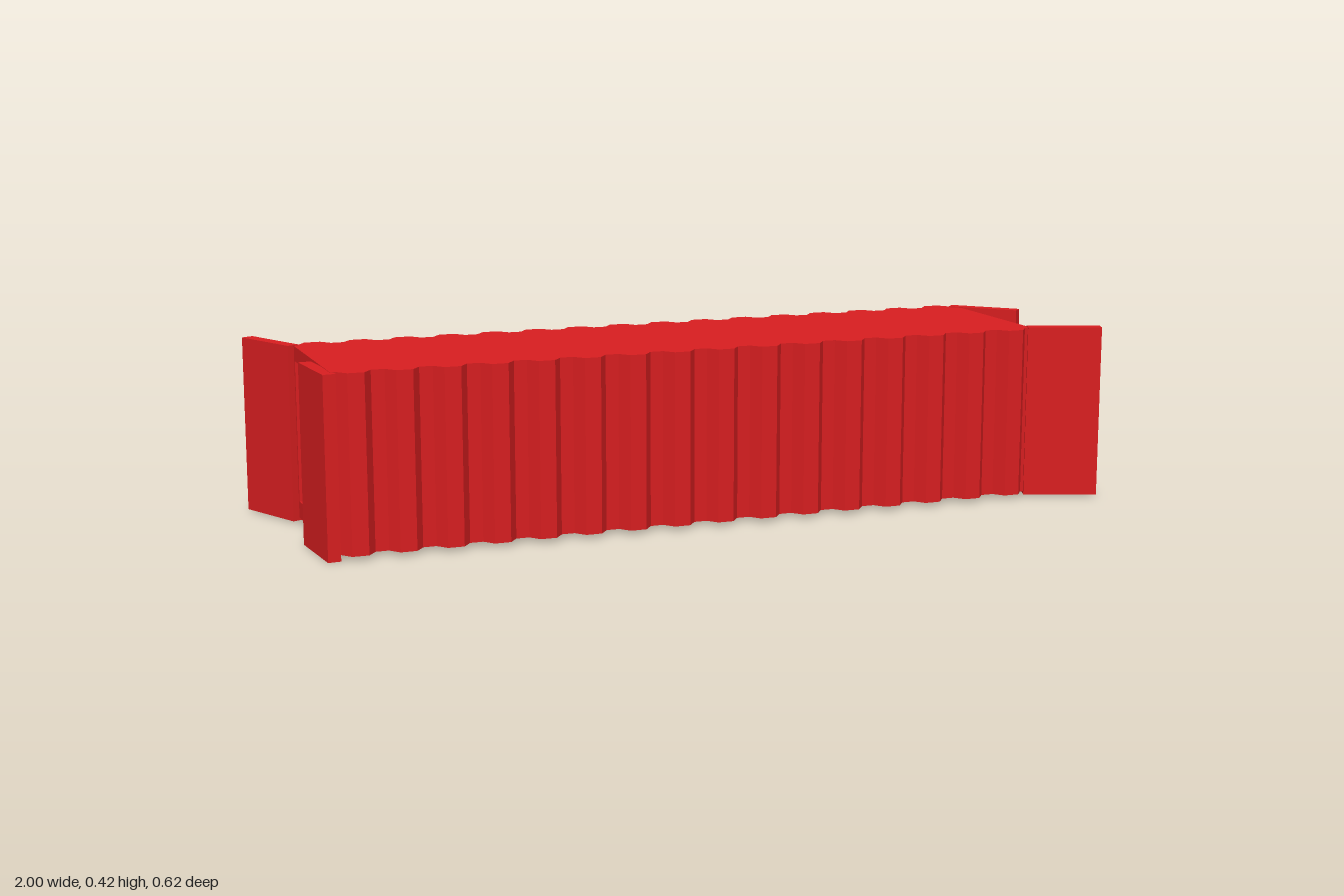
import * as THREE from 'three';

const material = new THREE.MeshStandardMaterial({ color: 0xd81e20, flatShading: true });
const X0 = -0.91, X1 = 0.83, RIBS = 16;
const MID_Z = 0.04, VALLEY = 0.197, DEPTH = 0.026, WALL = 0.02;
const FLOOR_Y = 0.01, FLOOR_TOP = 0.05, ROOF_Y = 0.385, ROOF_TOP = 0.42;

// Corrugated line running from X0 to X1, as [x, distance from the middle]
function ribLine(base) {
  const pitch = (X1 - X0) / RIBS;
  const points = [[X0, base]];
  for (let i = 0; i < RIBS; i++) {
    const c = X0 + (i + 0.5) * pitch - 0.003;
    points.push([c - 0.039, base], [c - 0.019, base + DEPTH], [c + 0.019, base + DEPTH], [c + 0.039, base]);
  }
  points.push([X1, base]);
  return points;
}

// Vertical extrusion of a plan outline between two heights
function slab(name, outline, y0, y1) {
  const shape = new THREE.Shape(outline.map(([x, d]) => new THREE.Vector2(x, d)));
  const geometry = new THREE.ExtrudeGeometry(shape, { depth: y1 - y0, bevelEnabled: false });
  geometry.rotateX(-Math.PI / 2);
  const mesh = new THREE.Mesh(geometry, material);
  mesh.name = name;
  mesh.position.set(0, y0, MID_Z);
  return mesh;
}

const flip = (points) => points.map(([x, d]) => [x, -d]);

export function createModel() {
  const group = new THREE.Group();
  group.name = 'shippingContainer';

  // Floor and roof follow the ribbed outline on both long sides
  const outer = ribLine(VALLEY);
  const plan = [...flip(outer), ...[...outer].reverse()];
  group.add(slab('floor', plan, FLOOR_Y, FLOOR_TOP));
  group.add(slab('roof', plan, ROOF_Y, ROOF_TOP));

  // Thin ribbed side walls
  const wall = [...ribLine(VALLEY - WALL), ...[...outer].reverse()];
  group.add(slab('backWall', wall, FLOOR_TOP, ROOF_Y));
  group.add(slab('frontWall', flip(wall), FLOOR_TOP, ROOF_Y));

  // Door leaves at both ends, each swung to its own angle
  const doors = [
    ['leftFrontDoor', 0.907, 0.262, 22, 0.003],
    ['leftBackDoor', 0.88, -0.092, 45, 0.003],
    ['rightBackDoor', -0.95, -0.225, 65, 0.003],
    ['rightFrontDoor', -0.924, 0.167, 85, 0],
  ];
  for (const [name, x, z, angle, y] of doors) {
    const door = new THREE.Mesh(new THREE.BoxGeometry(0.18, 0.419, 0.03), material);
    door.name = name;
    door.position.set(x, y + 0.2095, z);
    door.rotation.y = -THREE.MathUtils.degToRad(angle);
    group.add(door);
  }
  return group;
}
